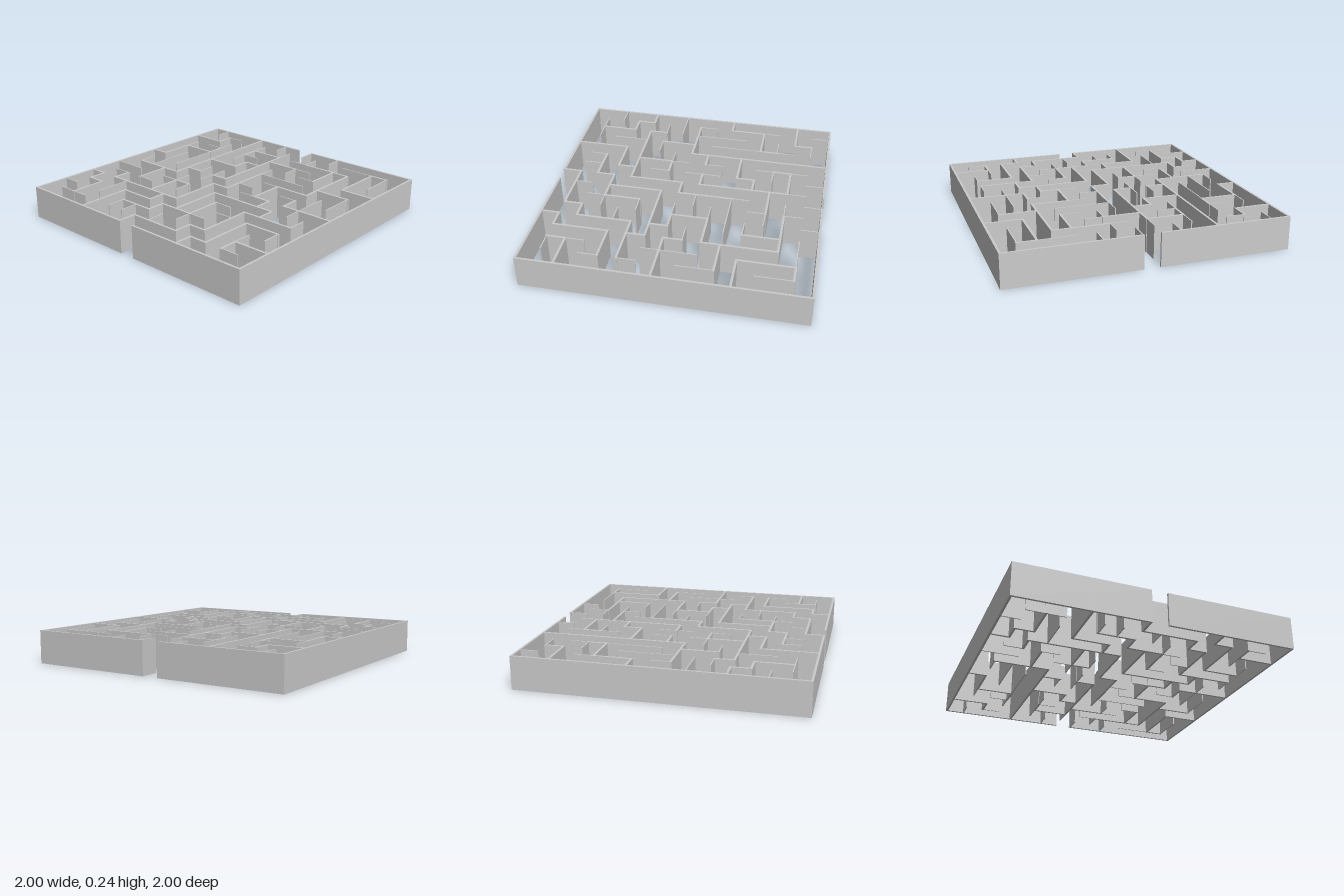
import * as THREE from 'three';

const CELLS = 15, HEIGHT = 0.24, THICK = 0.016, THIN = 0.008;
const PITCH = (2 - THICK) / CELLS;

// Wall runs "from-to" along x, one entry per grid line from back to front
const ROWS = [
  '0-7 8-15', '2-3 11-14', '0-2 5-7 8-12', '2-3 5-6 7-10',
  '1-3 6-7 10-11 13-15', '4-6 8-11 12-14', '0-1 9-12', '4-5 6-7 8-9 11-12',
  '1-4 7-8 9-11 12-15', '0-2 4-6 8-12', '1-2 3-4 9-10 11-14', '0-1 2-7 10-11 12-14',
  '1-2 4-6 7-10', '0-1 5-7 10-11 13-15', '1-3 7-10 11-12 13-14', '0-7 8-15',
];
// Wall runs along z, one entry per grid line from right to left of the model
const COLUMNS = [
  '0-15', '0-1 3-6 7-8 11-12', '1-2 5-8 10-11 12-14', '2-7 8-10 11-13',
  '0-8 12-15', '1-4 6-7 8-11 13-14', '0-1 4-5 6-8 9-10 11-12 13-14', '1-7 8-11 12-13 14-15',
  '0-1 4-8 9-12 13-14', '1-2 3-4 10-13', '0-1 6-8 13-14', '2-4 8-9 10-13 14-15',
  '2-6 7-8 9-10 11-14', '1-4 6-9 12-14', '1-3 5-7 9-10 11-12', '0-15',
];

const parse = (lines) => lines.map((s) => s.split(' ').map((r) => r.split('-').map(Number)));
const at = (i) => (i - CELLS / 2) * PITCH;

export function createModel() {
  const model = new THREE.Group();
  model.name = 'maze';
  const material = new THREE.MeshStandardMaterial({ color: 0xcccccc, flatShading: true });
  const rows = parse(ROWS), columns = parse(COLUMNS);

  // True where a run on the given grid line passes through or ends at position p
  const touches = (lines, line, p) => lines[line].some(([a, b]) => a <= p && p <= b);

  function addWall(line, a, b, alongX, thickness, border) {
    const length = (b - a) * PITCH + thickness;
    const mid = (at(a) + at(b)) / 2;
    const geometry = alongX
      ? new THREE.BoxGeometry(length, HEIGHT, thickness)
      : new THREE.BoxGeometry(thickness, HEIGHT, length);
    const wall = new THREE.Mesh(geometry, material);
    wall.name = border ? 'outerWall' : 'innerWall';
    wall.position.set(alongX ? mid : at(line), HEIGHT / 2, alongX ? at(line) : mid);
    model.add(wall);
  }

  // Runs are split at junctions; branches with a free end are slimmer
  function addRuns(lines, crossing, alongX) {
    lines.forEach((runs, line) => {
      const border = line === 0 || line === CELLS;
      for (const [from, to] of runs) {
        if (border) {
          addWall(line, from, to, alongX, THICK, true);
          continue;
        }
        let start = from;
        for (let p = from + 1; p <= to; p++) {
          const joined = touches(crossing, p, line);
          if (!joined && p < to) continue;
          const free = !joined || !touches(crossing, start, line);
          addWall(line, start, p, alongX, free ? THIN : THICK, false);
          start = p;
        }
      }
    });
  }

  addRuns(rows, columns, true);
  addRuns(columns, rows, false);
  return model;
}
